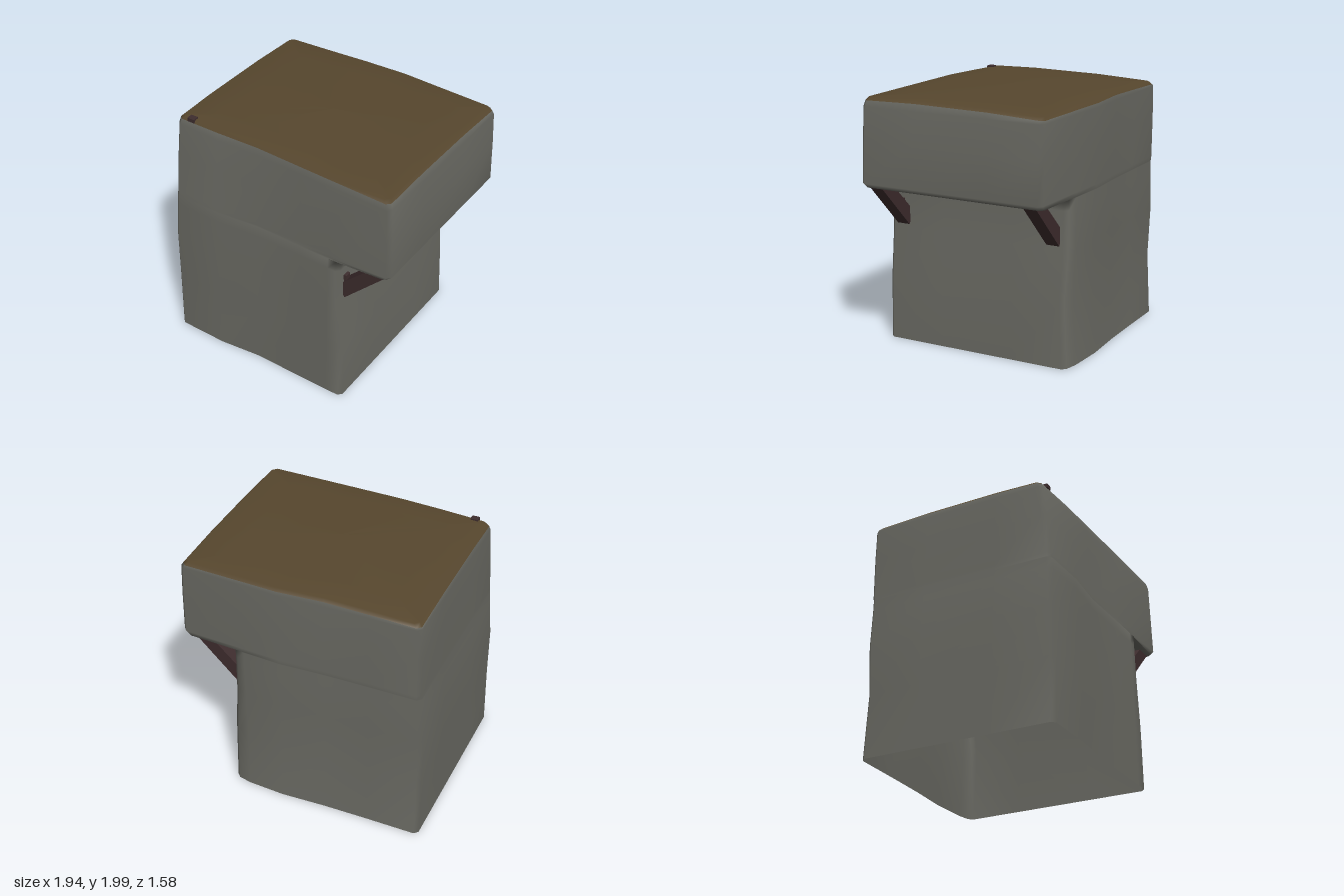
import * as THREE from 'three';

const stone = new THREE.MeshStandardMaterial({ color: 0x6c6c65, side: THREE.DoubleSide });
stone.name = 'grey plaster';
const earth = new THREE.MeshStandardMaterial({ color: 0x57472e });
earth.name = 'brown roof';
const wood = new THREE.MeshStandardMaterial({ color: 0x3e2d2e });
wood.name = 'dark timber';

// Slightly sagging height of the roof
const roofY = (x, z) => 1.995 - 0.05 * Math.max(0, -z) - 0.02 * Math.max(0, z)
  - 0.03 * Math.max(0, -x - 0.2) - 0.012 * Math.max(0, x + 0.2);

// Horizontal outline with chamfered corners and uneven front and back walls.
// l, r: left and right x; fl, fr: front z at each end; b: back z
function outline({ y, l, r, fl, fr, b, c = 0.03, bulge = 1 }) {
  const front = x => fl + (fr - fl) * (x + 0.95) / 1.9;
  const pts = [[l + c, front(l)]];
  for (const [x, d] of [[-0.55, 0.012], [-0.2, -0.018], [0.2, -0.005], [0.45, 0]]) pts.push([x, front(x) + d * bulge]);
  pts.push([r - c, front(r)], [r, front(r) - c], [r, 0.3], [r, -0.3], [r, b + c + 0.02], [r - c, b + 0.02]);
  for (const [x, d] of [[0.45, -0.003], [0.15, -0.02], [-0.2, -0.004], [-0.55, 0]]) pts.push([x, b + d]);
  pts.push([l + c, b], [l, b + c], [l, -0.3], [l, 0.3], [l, front(l) - c]);
  return pts.map(([x, z]) => [x, y === 'roof' ? roofY(x, z) - 0.022 : y, z]);
}

// Skin a stack of equal-length rings
function loft(rings, material, name) {
  const n = rings[0].length, index = [];
  for (let k = 0; k < rings.length - 1; k++) {
    for (let i = 0; i < n; i++) {
      const a = k * n + i, b = k * n + (i + 1) % n;
      index.push(a, b, b + n, a, b + n, a + n);
    }
  }
  const g = new THREE.BufferGeometry();
  g.setAttribute('position', new THREE.Float32BufferAttribute(rings.flat(2), 3));
  g.setIndex(index);
  g.computeVertexNormals();
  const mesh = new THREE.Mesh(g, material);
  mesh.name = name;
  return mesh;
}

export function createModel() {
  const group = new THREE.Group();
  group.name = 'overhangingHouse';

  // Walls, open underneath, stepping out into the overhang
  const walls = [
    { y: 0, l: -0.975, r: 0.58, fl: 0.78, fr: 0.785, b: -0.77 },
    { y: 0.5, l: -0.97, r: 0.58, fl: 0.775, fr: 0.775, b: -0.745 },
    { y: 0.9, l: -0.975, r: 0.55, fl: 0.765, fr: 0.77, b: -0.76 },
    { y: 1.2, l: -0.955, r: 0.545, fl: 0.755, fr: 0.765, b: -0.76 },
    { y: 1.285, l: -0.952, r: 0.55, fl: 0.75, fr: 0.76, b: -0.76 },
    { y: 1.29, l: -0.951, r: 0.935, fl: 0.748, fr: 0.745, b: -0.76 },
    { y: 1.325, l: -0.95, r: 0.968, fl: 0.745, fr: 0.758, b: -0.765 },
    { y: 1.65, l: -0.945, r: 0.96, fl: 0.71, fr: 0.75, b: -0.77 },
    { y: 1.9, l: -0.938, r: 0.95, fl: 0.68, fr: 0.745, b: -0.77, bulge: 0.4 },
    { y: 'roof', l: -0.93, r: 0.935, fl: 0.665, fr: 0.735, b: -0.765, bulge: 0.2 },
  ].map(outline);
  group.add(loft(walls, stone, 'walls'));

  // Roof, closing from the wall top towards the middle
  const edge = walls[walls.length - 1];
  const roof = [edge, ...[0.975, 0.7, 0.35, 0].map(s => edge.map(([x, , z]) => [x * s, roofY(x * s, z * s), z * s]))];
  group.add(loft(roof, earth, 'roof'));

  // Diagonal braces under the overhang
  const profile = new THREE.Shape([[0.5, 1.03], [0.56, 0.935], [0.93, 1.30], [0.81, 1.32]].map(p => new THREE.Vector2(...p)));
  for (const [name, z] of [['frontBrace', 0.6], ['backBrace', -0.685]]) {
    const brace = new THREE.Mesh(new THREE.ExtrudeGeometry(profile, { depth: 0.105, bevelEnabled: false }), wood);
    brace.position.z = z;
    brace.name = name;
    group.add(brace);
  }

  // Beam ends showing through the wall and roof edge
  for (const [name, size, pos] of [
    ['wallBeamEnd', [0.05, 0.07, 0.05], [0.545, 1.1, 0.67]],
    ['roofBeamEnd', [0.06, 0.03, 0.05], [-0.81, 1.96, 0.65]],
  ]) {
    const beam = new THREE.Mesh(new THREE.BoxGeometry(...size), wood);
    beam.position.set(...pos);
    beam.name = name;
    group.add(beam);
  }
  return group;
}
